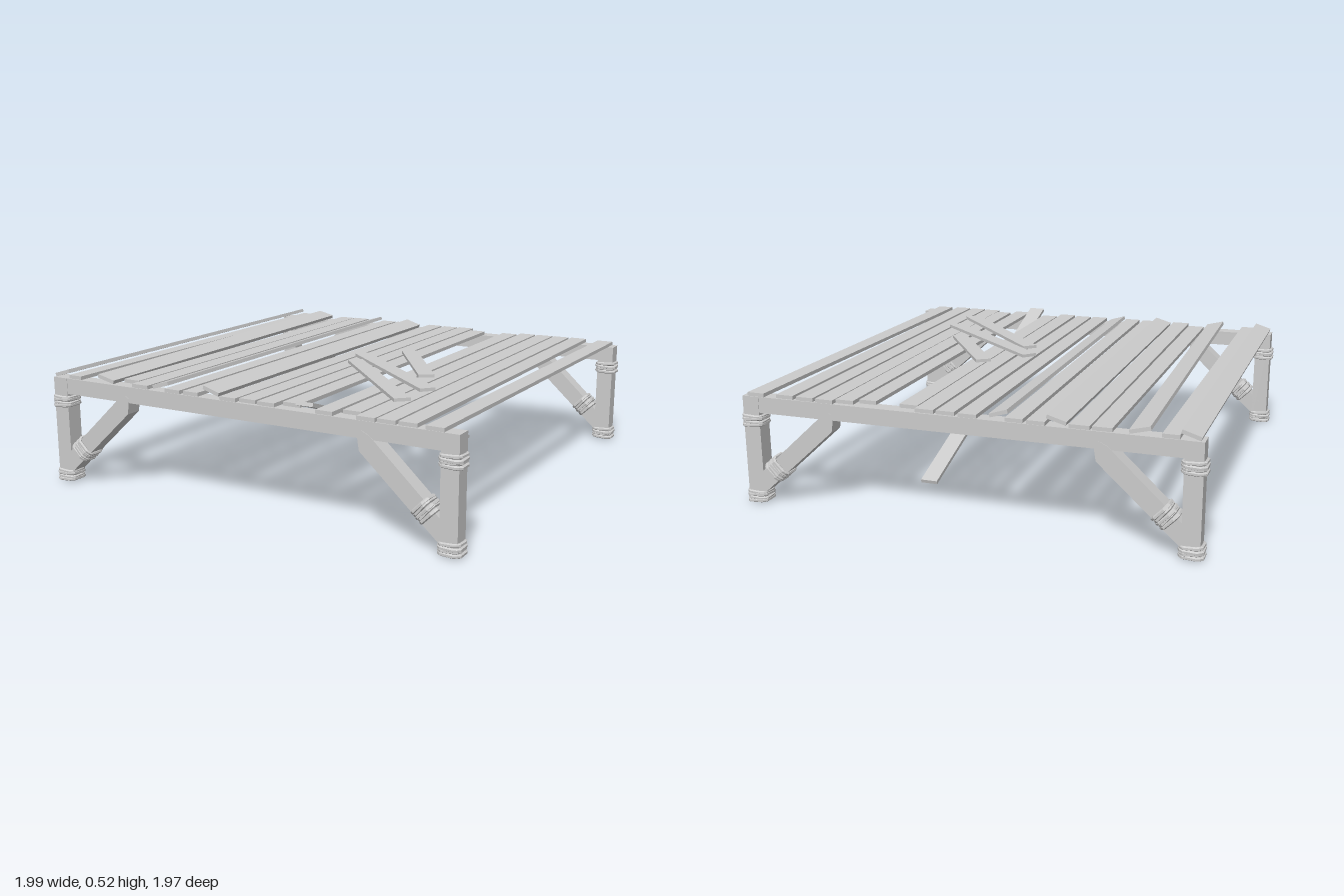
import * as THREE from 'three';

const mat = new THREE.MeshStandardMaterial({ color: 0xcccccc, flatShading: true });
const LEG_X = 0.943, LEG_Z = 0.935, LEG_W = 0.075;

function add(parent, name, geometry, x = 0, y = 0, z = 0) {
  const mesh = new THREE.Mesh(geometry, mat);
  mesh.name = name;
  mesh.position.set(x, y, z);
  parent.add(mesh);
  return mesh;
}

// One turn of rope around a square post: a tube on a chamfered square path
const h = 0.043, c = 0.028;
const ropePath = new THREE.CatmullRomCurve3(
  [[h, c], [c, h], [-c, h], [-h, c], [-h, -c], [-c, -h], [c, -h], [h, -c]]
    .map(([x, z]) => new THREE.Vector3(x, 0, z)), true, 'catmullrom', 0);
const ropeGeometry = new THREE.TubeGeometry(ropePath, 24, 0.0085, 6, true);

// Stack of slightly uneven turns
function ropeBinding(name, turns) {
  const group = new THREE.Group();
  group.name = name;
  for (let i = 0; i < turns; i++) {
    const turn = add(group, 'ropeTurn', ropeGeometry, 0, (i - (turns - 1) / 2) * 0.0125, 0);
    turn.rotation.set(Math.sin(i * 2.3) * 0.05, Math.sin(i * 1.7) * 0.04, Math.cos(i * 2.9) * 0.06);
    turn.scale.setScalar(i % 2 ? 0.98 : 1.02);
  }
  return group;
}

// Diagonal brace with a blunt, angled top
function braceGeometry() {
  const shape = new THREE.Shape(
    [[0.95, 0.11], [0.90, 0.055], [0.565, 0.36], [0.555, 0.425], [0.575, 0.442], [0.61, 0.425]]
      .map(([x, y]) => new THREE.Vector2(-x, y)));
  const geometry = new THREE.ExtrudeGeometry(shape, { depth: 0.072, bevelEnabled: false });
  return geometry.translate(0, 0, -0.036);
}

// Corner post with its brace and bindings, drawn for the -x side
function corner(brace) {
  const group = new THREE.Group();
  add(group, 'leg', new THREE.BoxGeometry(LEG_W, 0.465, LEG_W - 0.003), -LEG_X, 0.2475, 0);
  add(group, 'brace', brace);
  [[0.035, 'footBinding'], [0.375, 'upperBinding']].forEach(([y, name]) => {
    const binding = ropeBinding(name, 4);
    binding.position.set(-LEG_X, y, 0);
    group.add(binding);
  });
  const braceBinding = ropeBinding('braceBinding', 5);
  braceBinding.position.set(-0.84, 0.165, 0);
  braceBinding.rotation.z = -0.84;
  group.add(braceBinding);
  return group;
}

// Deck boards: x centre at back, x centre at front, width, back z, front z, roll
const BOARDS = [
  [-0.93, -0.93, 0.08, -0.97, 0.97, 0.3],
  [-0.853, -0.855, 0.068, -0.97, 0.97, 0],
  [-0.735, -0.68, 0.085, -0.97, 0.97, -0.24],
  [-0.587, -0.588, 0.08, -0.965, 0.91, 0],
  [-0.498, -0.494, 0.083, -0.97, 0.97, 0],
  [-0.4, -0.4, 0.083, -0.95, 0.95, 0.28],
  [-0.322, -0.322, 0.076, -0.97, 0.97, 0],
  [-0.232, -0.228, 0.074, -0.97, 0.97, 0],
  [-0.158, -0.153, 0.08, -0.94, 0.93, -0.3],
  [-0.037, -0.042, 0.078, -0.97, 0.97, 0],
  [0.058, 0.048, 0.078, -0.965, 0.96, 0],
  [0.147, 0.143, 0.08, -0.97, 0.97, 0],
  [0.235, 0.232, 0.08, -0.925, 0.92, 0],
  [0.417, 0.41, 0.077, -0.925, 0.97, 0],
  [0.508, 0.507, 0.079, -0.955, 0.92, 0],
  [0.596, 0.592, 0.08, -0.97, 0.97, 0],
  [0.686, 0.68, 0.077, -0.97, 0.97, 0],
  [0.779, 0.77, 0.078, -0.97, 0.97, 0],
  [0.917, 0.88, 0.077, -0.97, 0.97, 0],
];

// Loose boards on the deck: start x, start z, end x, end z
const LOOSE = [
  [0.2, -0.18, 0.5, 0.255],
  [0.03, -0.02, 0.62, 0.49],
  [0.08, 0.135, 0.61, 0.7],
];

export function createModel() {
  const model = new THREE.Group();
  model.name = 'woodenPlatform';

  // Four corners, turned so that each brace leans inward
  const brace = braceGeometry();
  for (const side of [1, -1]) {
    for (const end of [1, -1]) {
      const post = corner(brace);
      post.name = (end > 0 ? 'front' : 'back') + (side > 0 ? 'Right' : 'Left') + 'Corner';
      post.position.z = end * LEG_Z;
      if (side < 0) post.rotation.y = Math.PI;
      model.add(post);
    }
  }

  // Cross beams under the board ends
  for (const end of [1, -1]) {
    add(model, end > 0 ? 'frontBeam' : 'backBeam',
      new THREE.BoxGeometry(1.94, 0.07, 0.068), 0, 0.445, end * LEG_Z);
  }

  // Deck
  const deck = new THREE.Group();
  deck.name = 'deck';
  model.add(deck);
  BOARDS.forEach(([backX, frontX, width, backZ, frontZ, roll], i) => {
    const length = frontZ - backZ;
    const y = roll ? 0.502 : 0.489 + (i % 3) * 0.001;
    const board = add(deck, 'deckBoard', new THREE.BoxGeometry(width, 0.016, length),
      (backX + frontX) / 2, y, (backZ + frontZ) / 2);
    board.rotation.order = 'YXZ';
    board.rotation.y = Math.atan2(frontX - backX, length);
    board.rotation.z = roll;
  });

  // Loose boards lying across the deck
  LOOSE.forEach(([x0, z0, x1, z1], i) => {
    const dx = x1 - x0, dz = z1 - z0;
    const board = add(model, 'looseBoard', new THREE.BoxGeometry(0.07, 0.014, Math.hypot(dx, dz)),
      (x0 + x1) / 2, 0.506 + i * 0.001, (z0 + z1) / 2);
    board.rotation.y = Math.atan2(dx, dz);
  });

  // Board fallen through the deck, resting on the ground at the back
  const dy = 0.495, dz = 1.52;
  const fallen = add(model, 'fallenBoard',
    new THREE.BoxGeometry(0.077, 0.016, Math.hypot(dy, dz)), 0.327, 0.268, 0.215);
  fallen.rotation.x = -Math.atan2(dy, dz);

  return model;
}
